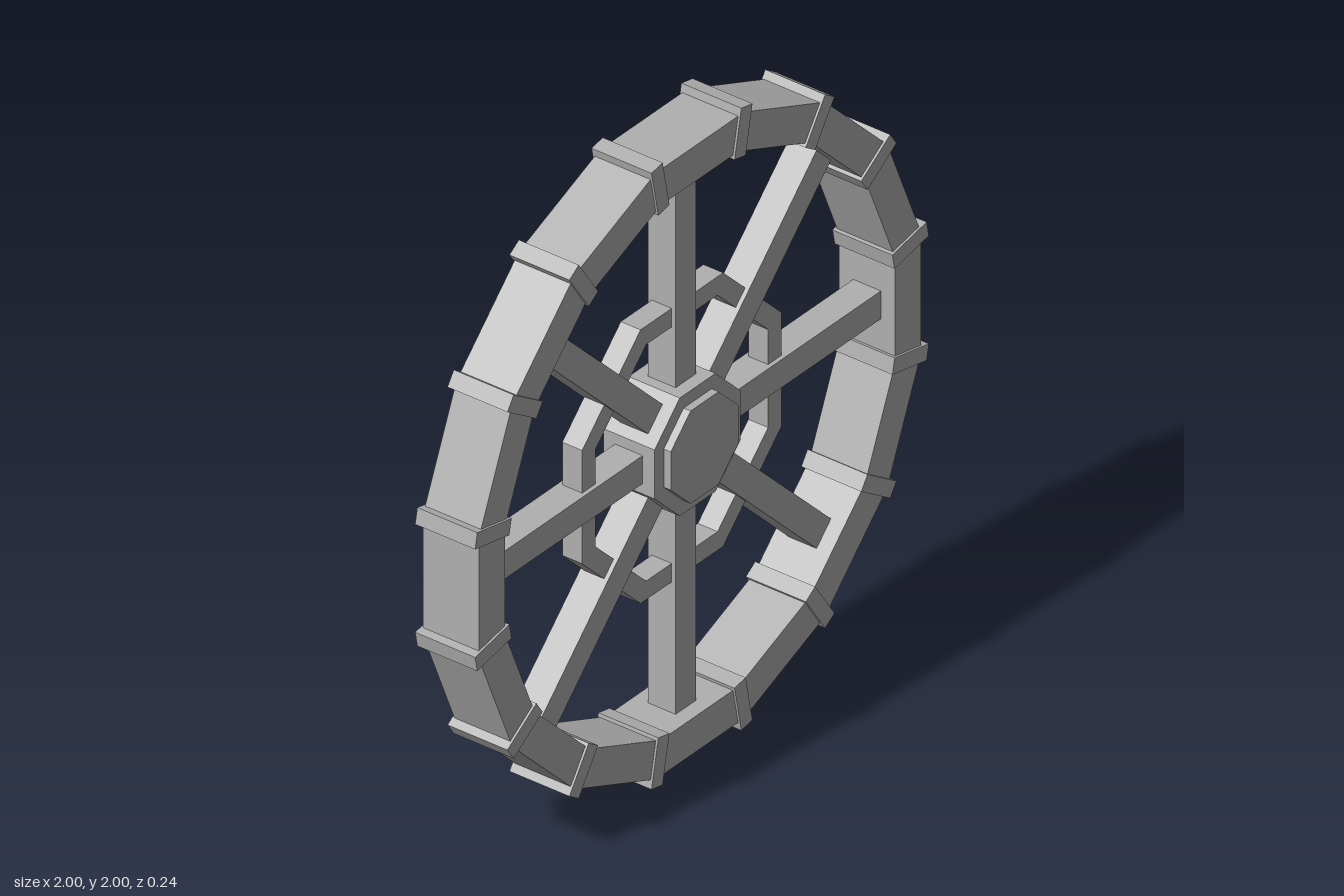
import * as THREE from 'three';

const grey = new THREE.MeshStandardMaterial({ color: 0xb0b0b0 });
grey.name = 'stone grey';

// Corners of a regular polygon with a flat top, sized by its apothem
function polygon(sides, apothem) {
  const r = apothem / Math.cos(Math.PI / sides);
  return Array.from({ length: sides }, (_, i) => {
    const a = Math.PI / 2 + ((i + 0.5) * 2 * Math.PI) / sides;
    return new THREE.Vector2(r * Math.cos(a), r * Math.sin(a));
  });
}

// Polygonal plate or ring lying between two depths
function prism(name, sides, outer, inner, zBack, zFront) {
  const shape = new THREE.Shape(polygon(sides, outer));
  if (inner) shape.holes.push(new THREE.Path(polygon(sides, inner)));
  const geo = new THREE.ExtrudeGeometry(shape, { depth: zFront - zBack, bevelEnabled: false });
  const mesh = new THREE.Mesh(geo, grey);
  mesh.name = name;
  mesh.position.z = zBack;
  return mesh;
}

// Box reaching from one radius to another at a given angle
function radialBox(name, angle, r0, r1, width, depth) {
  const mesh = new THREE.Mesh(new THREE.BoxGeometry(r1 - r0, width, depth), grey);
  const r = (r0 + r1) / 2;
  mesh.name = name;
  mesh.position.set(r * Math.cos(angle), r * Math.sin(angle), 0);
  mesh.rotation.z = angle;
  return mesh;
}

export function createModel() {
  const group = new THREE.Group();
  group.name = 'wheel';
  const wheel = new THREE.Group();
  wheel.name = 'wheelBody';
  wheel.position.set(0, 1, 0.006);
  group.add(wheel);

  // Sixteen-sided rim with a clamp over every joint
  wheel.add(prism('rim', 16, 0.975, 0.86, -0.096, 0.096));
  for (let i = 0; i < 16; i++) {
    wheel.add(radialBox('rimBand', ((i + 0.5) * Math.PI) / 8, 0.861, 1.015, 0.05, 0.206));
  }

  // Eight spokes and the brace ring that ties them together
  for (let i = 0; i < 8; i++) {
    wheel.add(radialBox('spoke', (i * Math.PI) / 4, 0.1, 0.862, 0.09, 0.095));
  }
  wheel.add(prism('braceRing', 8, 0.44, 0.38, -0.034, 0.034));

  // Hub with a raised plate on both sides and a square socket at the back
  wheel.add(prism('hub', 8, 0.19, 0, -0.088, 0.088));
  wheel.add(prism('frontHubPlate', 8, 0.149, 0, 0.087, 0.112));
  wheel.add(prism('backHubPlate', 8, 0.149, 0, -0.112, -0.087));
  wheel.add(prism('backSocket', 4, 0.093, 0.07, -0.124, -0.111));

  return group;
}
